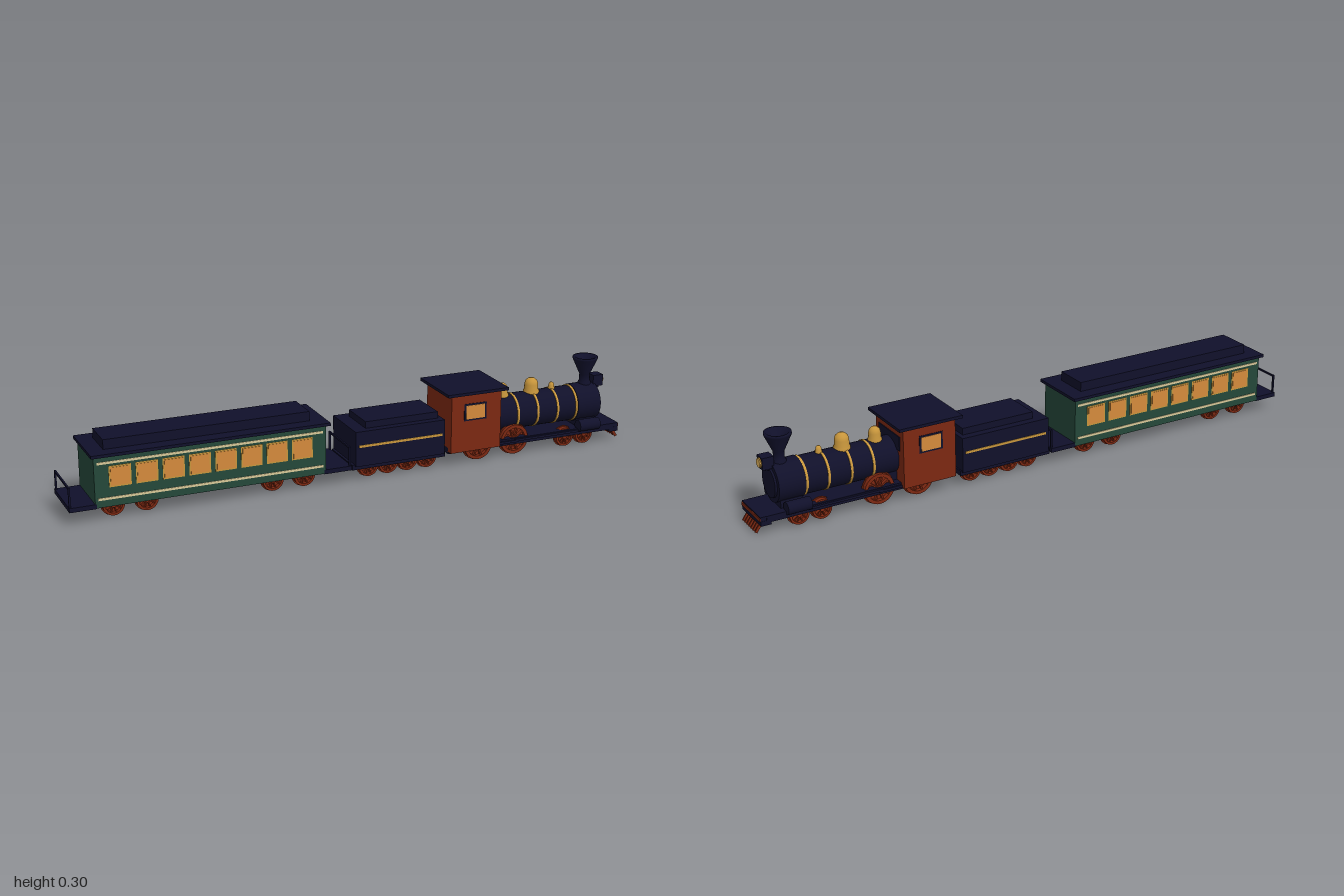
import * as THREE from 'three';

const mat = (name, color) => {
  const m = new THREE.MeshStandardMaterial({ color });
  m.name = name;
  return m;
};

export function createModel() {
  const navy = mat('navy', 0x10102a), red = mat('oxide red', 0x7c2812), green = mat('coach green', 0x24483a);
  const amber = mat('window amber', 0xd48a3c), gold = mat('brass', 0xc8963c), cream = mat('cream', 0xd8c898);
  const lampGlass = mat('lamp glass', 0xe8b860);

  const train = new THREE.Group();
  train.name = 'train';
  const section = (name) => {
    const g = new THREE.Group();
    g.name = name;
    train.add(g);
    return g;
  };
  const add = (parent, name, geo, m, x = 0, y = 0, z = 0) => {
    const mesh = new THREE.Mesh(geo, m);
    mesh.name = name;
    mesh.position.set(x, y, z);
    parent.add(mesh);
    return mesh;
  };
  // Box given by its x range, y range and centred or offset z range
  const box = (parent, name, m, x0, x1, y0, y1, z0, z1 = -z0) =>
    add(parent, name, new THREE.BoxGeometry(x1 - x0, y1 - y0, Math.abs(z1 - z0)), m,
      (x0 + x1) / 2, (y0 + y1) / 2, (z0 + z1) / 2);
  // Cylinder lying along x
  const tubeX = (parent, name, m, r, x0, x1, y, z = 0) =>
    add(parent, name, new THREE.CylinderGeometry(r, r, x1 - x0, 32).rotateZ(Math.PI / 2), m, (x0 + x1) / 2, y, z);
  // Cylinder lying along z
  const tubeZ = (parent, name, m, r, len, x, y, z) =>
    add(parent, name, new THREE.CylinderGeometry(r, r, len, 24).rotateX(Math.PI / 2), m, x, y, z);
  const turned = (parent, name, m, x, y, pts) =>
    add(parent, name, new THREE.LatheGeometry(pts.map((p) => new THREE.Vector2(...p)), 24), m, x, y, 0);

  // Pair of spoked wheels with an axle
  const wheelset = (parent, x, r) => {
    const set = new THREE.Group();
    set.name = 'wheelset';
    parent.add(set);
    const y = r + 0.004;
    const rim = new THREE.Shape().absarc(0, 0, r, 0, Math.PI * 2);
    rim.holes.push(new THREE.Path().absarc(0, 0, r * 0.78, 0, Math.PI * 2, true));
    for (const s of [1, -1]) {
      const geo = new THREE.ExtrudeGeometry(rim, { depth: 0.019, bevelEnabled: false, curveSegments: 16 });
      add(set, 'wheelRim', geo.translate(0, 0, -0.0095), red, x, y, s * 0.0545);
      tubeZ(set, 'wheelFlange', red, r + 0.004, 0.004, x, y, s * 0.047);
      tubeZ(set, 'wheelHub', red, r * 0.25, 0.021, x, y, s * 0.0545);
      for (let i = 0; i < 5; i++) {
        const spoke = add(set, 'spoke', new THREE.BoxGeometry(r * 1.7, r * 0.1, 0.012), red, x, y, s * 0.0545);
        spoke.rotation.z = (i * Math.PI) / 5;
      }
    }
    tubeZ(set, 'axle', navy, 0.006, 0.1, x, y, 0);
  };

  // Passenger coach
  const coach = section('passengerCoach');
  box(coach, 'coachBody', green, -0.917, -0.142, 0.048, 0.216, 0.094);
  box(coach, 'coachRoof', navy, -0.927, -0.13, 0.216, 0.226, 0.107);
  box(coach, 'clerestory', navy, -0.875, -0.185, 0.226, 0.258, 0.06);
  for (const s of [1, -1]) {
    for (const y of [0.076, 0.194]) {
      box(coach, 'creamStripe', cream, -0.907, -0.152, y - 0.004, y + 0.004, s * 0.093, s * 0.096);
    }
    for (let i = 0; i < 8; i++) {
      const x = -0.834 + i * 0.087;
      box(coach, 'windowFrame', gold, x - 0.036, x + 0.036, 0.112, 0.182, s * 0.093, s * 0.0955);
      box(coach, 'windowPane', amber, x - 0.031, x + 0.031, 0.117, 0.177, s * 0.093, s * 0.097);
    }
  }
  // End platforms with railings
  for (const [x0, x1, xr] of [[-1, -0.912, -0.996], [-0.147, -0.05, -0.054]]) {
    box(coach, 'platform', navy, x0, x1, 0.046, 0.061, 0.094);
    for (const s of [1, -1]) box(coach, 'railPost', navy, xr - 0.003, xr + 0.003, 0.06, 0.125, s * 0.082, s * 0.088);
    box(coach, 'handrail', navy, xr - 0.003, xr + 0.003, 0.12, 0.126, 0.088);
  }
  for (const x of [-0.795, -0.26]) {
    box(coach, 'truckFrame', navy, x - 0.1, x + 0.1, 0.034, 0.05, 0.042);
    for (const d of [-0.055, 0.055]) wheelset(coach, x + d, 0.036);
  }

  // Tender
  const tender = section('tender');
  box(tender, 'tenderFrame', navy, -0.045, 0.295, 0.042, 0.06, 0.088);
  box(tender, 'tenderTank', navy, -0.036, 0.29, 0.055, 0.176, 0.096);
  box(tender, 'coalDeck', navy, 0.01, 0.275, 0.176, 0.199, 0.07);
  for (const s of [1, -1]) box(tender, 'brassStripe', gold, -0.025, 0.28, 0.121, 0.129, s * 0.095, s * 0.098);
  for (const x of [0.025, 0.097, 0.169, 0.24]) wheelset(tender, x, 0.034);
  box(tender, 'rearCoupler', navy, -0.07, -0.03, 0.046, 0.056, 0.015);
  box(tender, 'frontCoupler', navy, 0.28, 0.33, 0.046, 0.056, 0.015);

  // Locomotive cab
  const engine = section('locomotive');
  box(engine, 'cabBody', red, 0.315, 0.502, 0.05, 0.254, 0.094);
  box(engine, 'cabRoof', navy, 0.295, 0.522, 0.254, 0.264, 0.109);
  box(engine, 'cabFrontWindow', navy, 0.5, 0.505, 0.173, 0.221, 0.071);
  for (const s of [1, -1]) {
    box(engine, 'cabWindowFrame', navy, 0.362, 0.446, 0.16, 0.22, s * 0.093, s * 0.0955);
    box(engine, 'cabWindowPane', amber, 0.369, 0.439, 0.166, 0.214, s * 0.093, s * 0.097);
  }

  // Boiler, smokebox and brass bands
  tubeX(engine, 'boiler', navy, 0.062, 0.5, 0.83, 0.139);
  tubeX(engine, 'smokebox', navy, 0.066, 0.825, 0.915, 0.139);
  tubeX(engine, 'smokeboxDoor', navy, 0.05, 0.914, 0.922, 0.139);
  for (const x of [0.59, 0.667, 0.745, 0.82]) tubeX(engine, 'boilerBand', gold, 0.0645, x - 0.004, x + 0.004, 0.139);

  // Domes, bell and smokestack
  const dome = (name, x, r, h) => turned(engine, name, gold, x, 0.192,
    [[r * 1.15, 0], [r * 1.15, 0.012], [r, 0.016], [r, h * 0.6], [r * 0.85, h * 0.82], [r * 0.45, h * 0.96], [0, h]]);
  dome('sandDome', 0.555, 0.02, 0.053);
  dome('steamDome', 0.67, 0.024, 0.058);
  dome('bell', 0.75, 0.01, 0.032);
  turned(engine, 'smokestack', navy, 0.883, 0,
    [[0.024, 0.19], [0.022, 0.21], [0.018, 0.215], [0.018, 0.237], [0.044, 0.294], [0.044, 0.301], [0.036, 0.301], [0, 0.27]]);

  // Headlamp
  box(engine, 'headlampBracket', navy, 0.895, 0.935, 0.185, 0.195, 0.012);
  box(engine, 'headlampCase', navy, 0.908, 0.947, 0.192, 0.232, 0.02);
  tubeX(engine, 'headlampRim', gold, 0.0165, 0.945, 0.95, 0.212);
  tubeX(engine, 'headlampGlass', lampGlass, 0.014, 0.946, 0.953, 0.212);

  // Frame, running gear and cylinders
  box(engine, 'mainFrame', navy, 0.315, 0.965, 0.042, 0.064, 0.073);
  box(engine, 'smokeboxSaddle', navy, 0.83, 0.905, 0.06, 0.09, 0.045);
  box(engine, 'firebox', navy, 0.5, 0.56, 0.06, 0.13, 0.042);
  for (const x of [0.435, 0.575]) wheelset(engine, x, 0.052);
  for (const x of [0.775, 0.852]) wheelset(engine, x, 0.033);
  for (const s of [1, -1]) {
    tubeX(engine, 'steamCylinder', navy, 0.021, 0.82, 0.9, 0.075, s * 0.074);
    box(engine, 'sideRod', navy, 0.43, 0.582, 0.05, 0.058, s * 0.073, s * 0.079);
    box(engine, 'mainRod', navy, 0.57, 0.83, 0.054, 0.062, s * 0.073, s * 0.081);
  }

  // Pilot deck, bumper beam and slatted cowcatcher
  box(engine, 'pilotDeck', navy, 0.9, 0.985, 0.048, 0.064, 0.072);
  box(engine, 'bumperBeam', red, 0.98, 0.988, 0.05, 0.06, 0.071);
  box(engine, 'pilotBeam', navy, 0.95, 0.985, 0.034, 0.05, 0.073);
  for (let i = -3; i <= 3; i++) {
    const slat = add(engine, 'pilotSlat', new THREE.BoxGeometry(0.009, 0.046, 0.005), red, 0.981, 0.025, i * 0.016);
    slat.rotation.z = 0.6;
  }
  return train;
}
